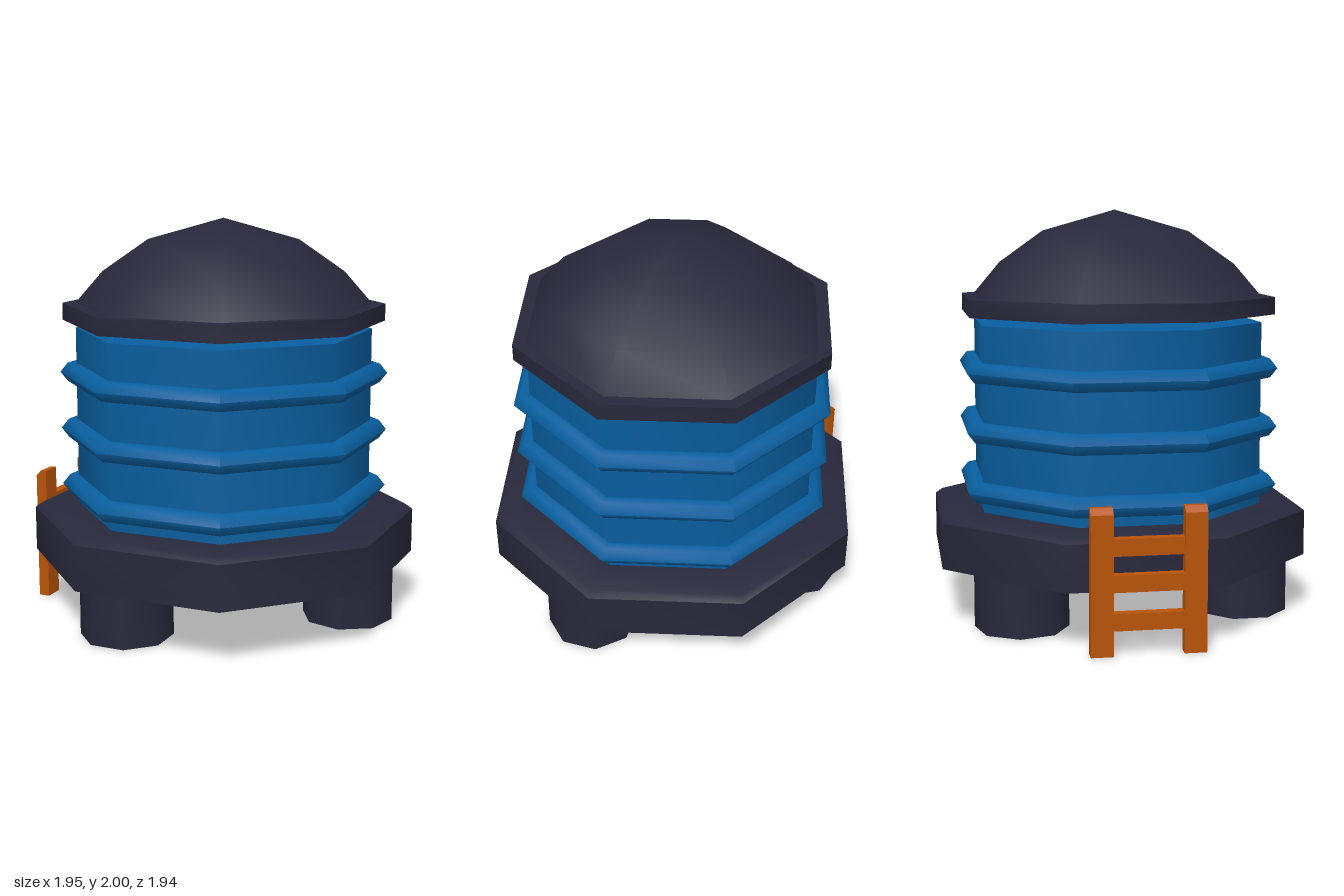
import * as THREE from 'three';
import { toCreasedNormals } from 'three/addons/utils/BufferGeometryUtils.js';

const CREASE = 0.9; // keeps the eight-sided walls smooth, sharpens the rims

function material(name, color) {
  const m = new THREE.MeshStandardMaterial({ color, side: THREE.DoubleSide });
  m.name = name;
  return m;
}

function addMesh(parent, name, geometry, mat) {
  const mesh = new THREE.Mesh(geometry, mat);
  mesh.name = name;
  parent.add(mesh);
  return mesh;
}

// Eight-sided thin shell; the profile runs from the bottom up the outside
function octagonLathe(profile, crease = CREASE) {
  const points = profile.map(([r, y]) => new THREE.Vector2(r, y));
  return toCreasedNormals(new THREE.LatheGeometry(points, 8), crease);
}

export function createModel() {
  const model = new THREE.Group();
  model.name = 'waterTower';
  const slate = material('slate', 0x28283c);
  const blue = material('blue', 0x085e9e);
  const orange = material('orange', 0xb85408);

  // Three stout hollow legs, one at the front
  const leg = octagonLathe([[0.229, 0], [0.229, 0.37], [0, 0.37]]);
  for (let i = 0; i < 3; i++) {
    const pivot = new THREE.Group();
    pivot.name = 'leg' + (i + 1);
    pivot.rotation.y = (i * Math.PI * 2) / 3;
    addMesh(pivot, 'legPost', leg, slate).position.z = 0.656;
    model.add(pivot);
  }

  // Platform: open skirt, bevelled upper edge and ring-shaped deck
  addMesh(model, 'platform', octagonLathe([
    [0.972, 0.29], [0.972, 0.515], [0.935, 0.541], [0.74, 0.541],
  ]), slate);

  // Tank wall and lid, its raised floor, and three rounded bands
  addMesh(model, 'tankWall', octagonLathe([[0.745, 0.535], [0.745, 1.45], [0, 1.45]]), blue);
  addMesh(model, 'tankFloor', octagonLathe([[0, 0.79], [0.744, 0.79]]), blue);
  for (const y of [0.642, 0.934, 1.224]) {
    addMesh(model, 'tankBand', octagonLathe([
      [0.745, y - 0.047], [0.79, y - 0.047], [0.827, y], [0.79, y + 0.047], [0.745, y + 0.047],
    ], 1.4), blue);
  }

  // Domed roof on an overhanging rim, lifted clear of the tank
  addMesh(model, 'roofRim', octagonLathe([
    [0, 1.49], [0.81, 1.49], [0.81, 1.575], [0.745, 1.575],
  ]), slate);
  addMesh(model, 'roofDome', octagonLathe([
    [0.747, 1.572], [0.605, 1.735], [0.375, 1.895], [0, 2],
  ]), slate);

  // Ladder standing flat against the front right platform face
  const ladder = new THREE.Group();
  ladder.name = 'ladder';
  ladder.rotation.y = -Math.PI * 3 / 8;
  const depth = 0.056, width = 0.104, height = 0.682, inner = 0.893;
  const side = new THREE.Shape([
    new THREE.Vector2(0, 0), new THREE.Vector2(depth, 0),
    new THREE.Vector2(depth, height - 0.028), new THREE.Vector2(depth - 0.026, height),
    new THREE.Vector2(0, height),
  ]);
  const rail = new THREE.ExtrudeGeometry(side, { depth: width, bevelEnabled: false });
  rail.rotateY(-Math.PI / 2).translate(width / 2, 0, inner);
  for (const s of [-1, 1]) {
    addMesh(ladder, 'ladderRail', rail, orange).position.x = 0.004 + s * 0.216;
  }
  const rung = new THREE.BoxGeometry(0.36, 0.08, depth - 0.006);
  for (const y of [0.158, 0.336, 0.503]) {
    addMesh(ladder, 'ladderRung', rung, orange).position.set(0, y, inner + depth / 2);
  }
  model.add(ladder);

  return model;
}
